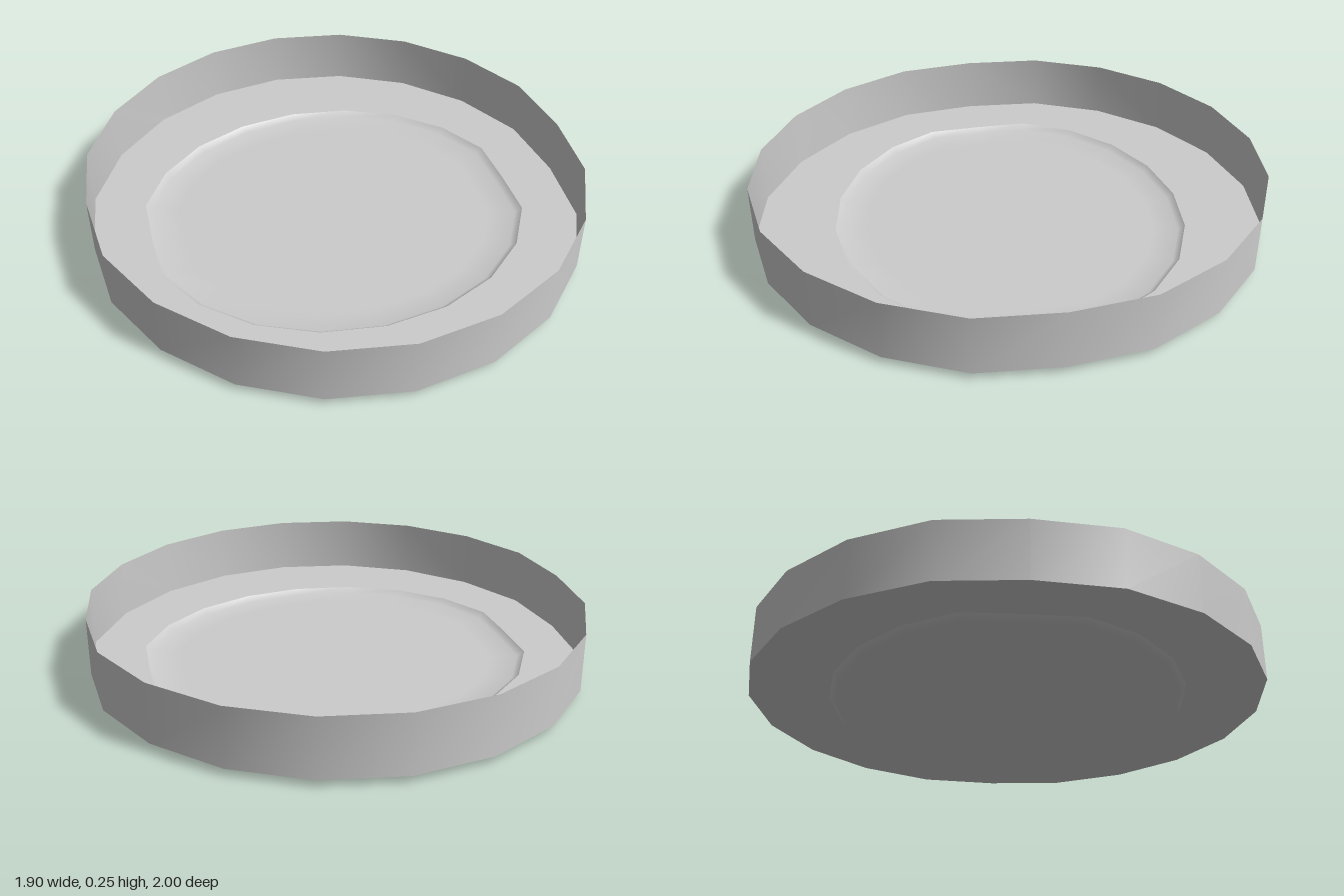
import * as THREE from 'three';

const SIDES = 20;

// Smooth surface through 20-sided rings; each ring is { rx, rz, tip, y },
// where tip is the slightly blunted reach of the corner on the x axis.
function loft(name, rings, material) {
  const positions = [];
  const indices = [];
  rings.forEach(({ rx, rz, tip, y }, r) => {
    for (let i = 0; i < SIDES; i++) {
      const a = (i / SIDES) * Math.PI * 2;
      const onAxis = i % (SIDES / 2) === SIDES / 4;
      positions.push((onAxis ? tip : rx) * Math.sin(a), y, rz * Math.cos(a));
      if (r === rings.length - 1) continue;
      const j = (i + 1) % SIDES;
      const p = r * SIDES;
      const q = p + SIDES;
      indices.push(p + i, p + j, q + j, p + i, q + j, q + i);
    }
  });
  const geometry = new THREE.BufferGeometry();
  geometry.setAttribute('position', new THREE.Float32BufferAttribute(positions, 3));
  geometry.setIndex(indices);
  geometry.computeVertexNormals();
  const mesh = new THREE.Mesh(geometry, material);
  mesh.name = name;
  return mesh;
}

export function createModel() {
  const group = new THREE.Group();
  group.name = 'shallowDish';
  const material = new THREE.MeshStandardMaterial({ color: 0xcccccc, side: THREE.DoubleSide });

  const outer = (y) => ({ rx: 0.968, rz: 1, tip: 0.951, y });
  const inner = (s, y) => ({ rx: 0.765 * s, rz: 0.692 * s, tip: 0.732 * s, y });

  // Thin upright wall
  group.add(loft('wall', [outer(0.025), outer(0.25)], material));
  // Flat ledge between the wall and the recess
  group.add(loft('ledge', [outer(0.025), inner(1, 0.025)], material));
  // Sunken floor with a sloped edge, closed at the centre
  group.add(loft('recessedFloor', [
    inner(1, 0.025), inner(0.965, 0.004), inner(0.83, 0), inner(0, 0),
  ], material));

  return group;
}
